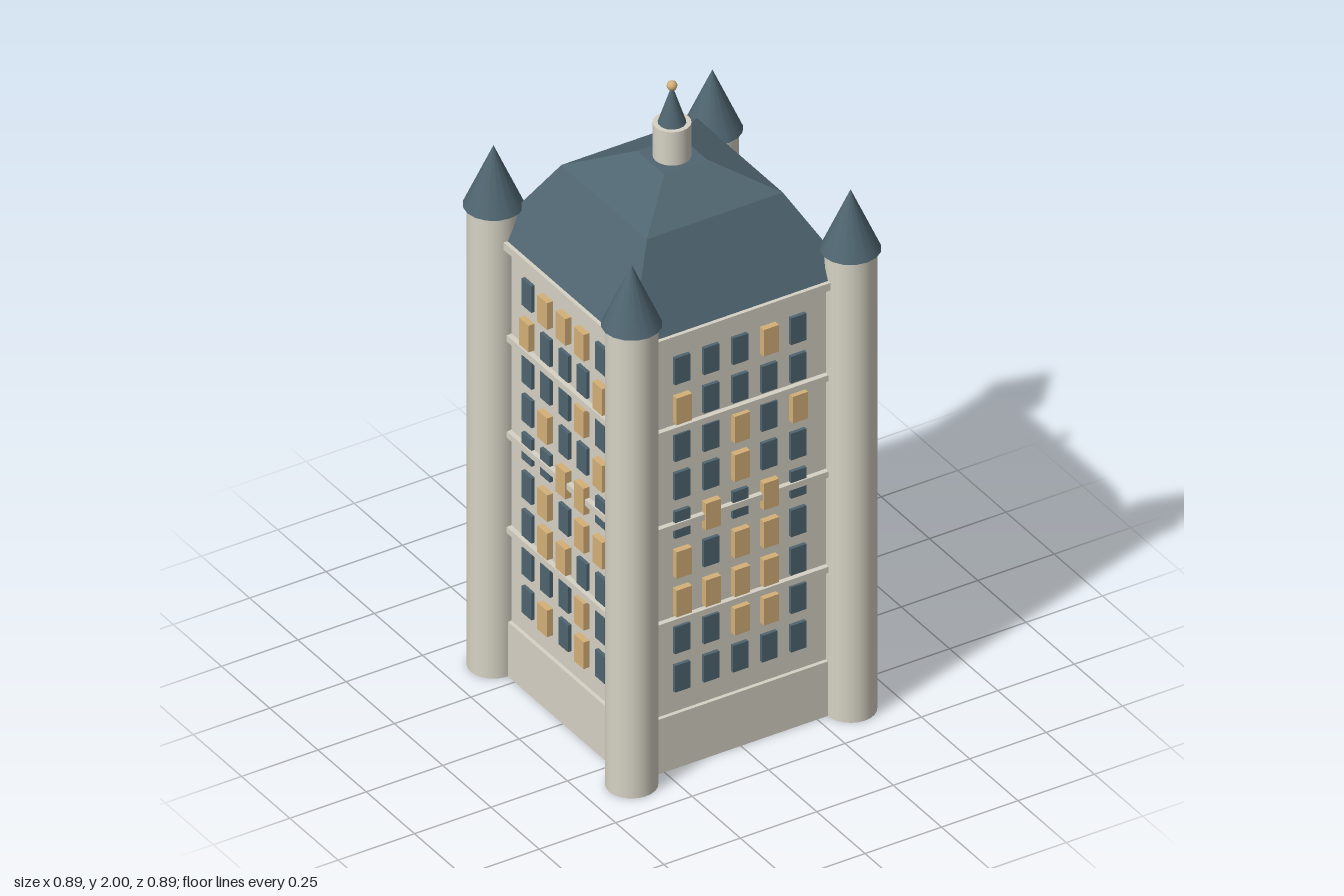
import * as THREE from 'three';

const stone = new THREE.MeshStandardMaterial({ color: 0xd6d2c4 });
stone.name = 'pale stone';
const slate = new THREE.MeshStandardMaterial({ color: 0x4f6570 });
slate.name = 'blue slate';
const amber = new THREE.MeshStandardMaterial({ color: 0xd4b078 });
amber.name = 'warm amber';

// Windows of each face, top row first, left to right seen from outside (1 = lit)
const LIT = {
  front: ['00010', '10000', '00101', '00100', '01010', '10110', '11110', '00110', '00000'],
  right: ['01000', '11011', '00000', '00011', '01111', '01011', '00000', '01011', '01001'],
  back: ['11000', '00100', '00000', '00001', '01011', '00011', '10100', '00011', '00011'],
  left: ['01110', '10001', '00010', '01001', '00110', '01011', '01100', '00010', '01010'],
};
const TURN = { front: 0, right: Math.PI / 2, back: Math.PI, left: -Math.PI / 2 };

function add(parent, name, geometry, material, x = 0, y = 0, z = 0) {
  const mesh = new THREE.Mesh(geometry, material);
  mesh.name = name;
  mesh.position.set(x, y, z);
  parent.add(mesh);
  return mesh;
}

// Square block from half width and bottom/top heights
function block(parent, name, half, y0, y1) {
  add(parent, name, new THREE.BoxGeometry(half * 2, y1 - y0, half * 2), stone, 0, (y0 + y1) / 2);
}

// Four-sided sloping roof section with flat faces
function roofSection(parent, name, half0, half1, y0, y1) {
  const g = new THREE.CylinderGeometry(half1 * Math.SQRT2, half0 * Math.SQRT2, y1 - y0, 4)
    .rotateY(Math.PI / 4).toNonIndexed();
  g.computeVertexNormals();
  add(parent, name, g, slate, 0, (y0 + y1) / 2);
}

export function createModel() {
  const model = new THREE.Group();
  model.name = 'tower';

  // Main body, plinth and ledges
  block(model, 'body', 0.345, 0, 1.42);
  block(model, 'plinth', 0.357, 0, 0.18);
  for (const y of [0.485, 0.8, 1.118]) block(model, 'ledge', 0.361, y - 0.01, y + 0.01);
  block(model, 'cornice', 0.37, 1.413, 1.438);

  // Windows: lit ones stand slightly further out
  const dark = new THREE.BoxGeometry(0.05, 0.088, 0.02);
  const lit = new THREE.BoxGeometry(0.05, 0.088, 0.03);
  for (const [side, rows] of Object.entries(LIT)) {
    const face = new THREE.Group();
    face.name = `${side}Windows`;
    face.rotation.y = TURN[side];
    rows.forEach((row, r) => [...row].forEach((c, i) => {
      const on = c === '1';
      add(face, on ? 'litWindow' : 'darkWindow', on ? lit : dark, on ? amber : slate,
        (i - 2) * 0.095, 1.31 - r * 0.127, on ? 0.35 : 0.346);
    }));
    model.add(face);
  }

  // Corner turrets with pointed caps
  for (const sx of [-1, 1]) for (const sz of [-1, 1]) {
    const turret = new THREE.Group();
    turret.name = 'cornerTurret';
    turret.position.set(sx * 0.358, 0, sz * 0.358);
    add(turret, 'shaft', new THREE.CylinderGeometry(0.074, 0.074, 1.52, 24), stone, 0, 0.76);
    add(turret, 'cap', new THREE.ConeGeometry(0.086, 0.195, 16), slate, 0, 1.6175);
    model.add(turret);
  }

  // Double-pitched roof
  roofSection(model, 'lowerRoof', 0.358, 0.222, 1.438, 1.677);
  roofSection(model, 'upperRoof', 0.222, 0.07, 1.677, 1.755);

  // Lantern, spire and finial ball
  add(model, 'lantern', new THREE.CylinderGeometry(0.054, 0.054, 0.125, 20), stone, 0, 1.8025);
  add(model, 'spire', new THREE.ConeGeometry(0.04, 0.122, 14), slate, 0, 1.926);
  add(model, 'finial', new THREE.SphereGeometry(0.015, 12, 8), amber, 0, 1.985);

  return model;
}
